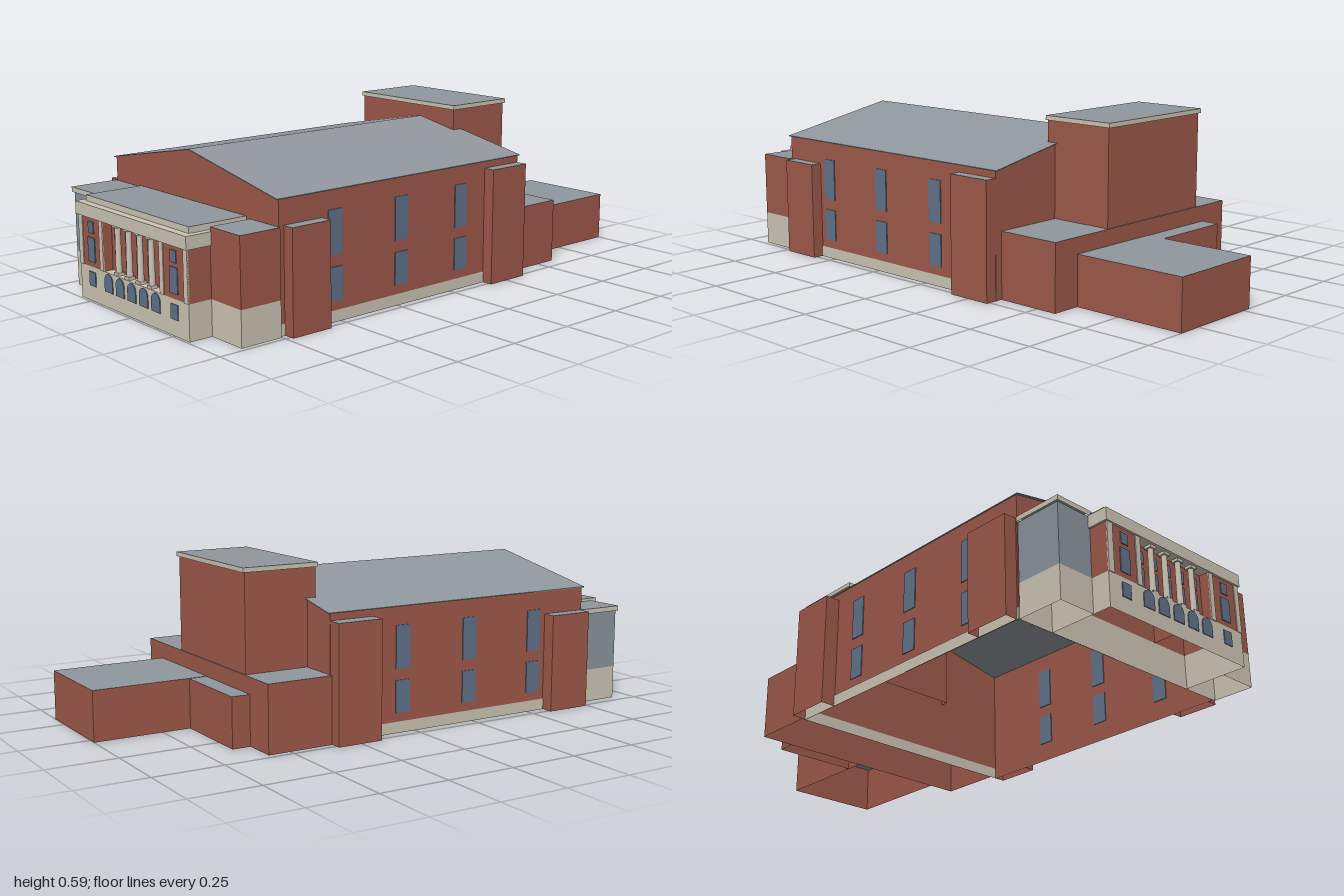
import * as THREE from 'three';

const mat = (name, color) => {
  const m = new THREE.MeshStandardMaterial({ color, side: THREE.DoubleSide });
  m.name = name;
  return m;
};

export function createModel() {
  const brick = mat('brick', 0x9e594a);
  const stone = mat('stone', 0xcdc5b5);
  const slate = mat('roof grey', 0x90979d);
  const panel = mat('wing panel grey', 0x8a939b);
  const glass = mat('window blue', 0x60728a);
  const model = new THREE.Group();
  model.name = 'hall';

  const add = (name, geometry, material, parent = model) => {
    const mesh = new THREE.Mesh(geometry, material);
    mesh.name = name;
    parent.add(mesh);
    return mesh;
  };

  const boxGeometry = (x0, x1, y0, y1, z0, z1) =>
    new THREE.BoxGeometry(x1 - x0, y1 - y0, z1 - z0)
      .translate((x0 + x1) / 2, (y0 + y1) / 2, (z0 + z1) / 2);

  // Solid box between two corners
  const solid = (name, material, ...b) => add(name, boxGeometry(...b), material);

  // Four walls without a floor, with an optional flat roof
  const block = (name, wall, roof, ...b) => {
    const g = boxGeometry(...b);
    const i = Array.from(g.index.array);
    const walls = [...i.slice(0, 12), ...i.slice(24, 36)];
    g.clearGroups();
    g.addGroup(0, 24, 0);
    if (roof) g.addGroup(24, 6, 1);
    g.setIndex(roof ? [...walls, ...i.slice(12, 18)] : walls);
    return add(name, g, roof ? [wall, roof] : wall);
  };

  // Main hall: walls, gables, stone plinth and pitched roof
  const L = -0.462, R = 0.472, MID = 0.005, EAVE = 0.44, PEAK = 0.53;
  const BACK = -0.34, FRONT = 0.75;
  block('hallWalls', brick, null, L, R, 0, EAVE, BACK, FRONT);
  block('hallPlinth', stone, null, L - 0.003, R + 0.003, 0, 0.04, BACK + 0.001, FRONT + 0.002);
  const gable = new THREE.Shape([
    new THREE.Vector2(L, EAVE), new THREE.Vector2(R, EAVE), new THREE.Vector2(MID, PEAK)]);
  for (const [name, z] of [['frontGable', FRONT], ['backGable', BACK]])
    add(name, new THREE.ShapeGeometry(gable).translate(0, 0, z), brick);
  const roofShape = new THREE.Shape([
    [L - 0.004, EAVE - 0.001], [MID, PEAK], [R + 0.004, EAVE - 0.001],
    [R + 0.004, EAVE + 0.002], [MID, PEAK + 0.003], [L - 0.004, EAVE + 0.002],
  ].map(([x, y]) => new THREE.Vector2(x, y)));
  add('hallRoof', new THREE.ExtrudeGeometry(roofShape, { depth: 1.106, bevelEnabled: false })
    .translate(0, 0, -0.348), slate);

  // Side windows, mirrored on both long walls
  for (const z of [0.522, 0.232, -0.05])
    for (const [y0, y1] of [[0.07, 0.185], [0.225, 0.375]])
      for (const x of [L, R])
        solid('sideWindow', glass, x - 0.003, x + 0.003, y0, y1, z - 0.029, z + 0.029);

  // Corner towers along the long walls
  block('frontLeftButtress', brick, slate, R, 0.514, 0, 0.355, 0.575, 0.73);
  block('frontRightButtress', brick, slate, -0.51, L, 0, 0.355, 0.575, 0.745);
  block('rearLeftButtress', brick, slate, R, 0.514, 0, 0.415, -0.339, -0.17);
  block('rearRightButtress', brick, slate, -0.517, L, 0, 0.415, -0.339, -0.17);

  // Rear block, stage tower and low annexes
  block('rearBlock', brick, slate, -0.476, 0.446, 0, 0.235, -0.58, -0.342);
  block('stageTower', brick, null, -0.316, 0.181, 0.235, 0.575, -0.576, -0.307);
  solid('towerCornice', stone, -0.322, 0.187, 0.575, 0.589, -0.584, -0.302);
  block('towerRoof', stone, slate, -0.322, 0.187, 0.588, 0.591, -0.584, -0.302);
  block('rearAnnex', brick, slate, -0.032, 0.338, 0, 0.178, -1, -0.581);
  block('rearLowRoom', brick, slate, -0.352, -0.033, 0, 0.177, -0.647, -0.581);

  // Front wings beside the portico
  const Z = FRONT + 0.003;
  block('leftWingBase', stone, null, 0.331, 0.484, 0, 0.122, Z, 0.907);
  block('leftWing', brick, slate, 0.331, 0.484, 0.122, 0.354, Z, 0.907);
  block('rightWingBase', stone, null, -0.46, -0.319, 0, 0.122, Z, 0.925);
  block('rightWing', panel, null, -0.46, -0.319, 0.122, 0.337, Z, 0.925);
  block('rightWingCornice', stone, slate, -0.467, -0.319, 0.337, 0.355, Z, 0.932);

  // Portico: stone base, brick bays and a recess behind the columns
  const F = 0.992, RECESS = 0.958, BAY0 = -0.165, BAY1 = 0.175;
  block('porticoBase', stone, null, -0.318, 0.331, 0, 0.122, Z, F);
  solid('porticoLedge', stone, BAY0, BAY1, 0.116, 0.122, RECESS, F);
  block('porticoRightBay', brick, null, -0.318, BAY0, 0.122, 0.297, Z, F);
  block('porticoLeftBay', brick, null, BAY1, 0.331, 0.122, 0.297, Z, F);
  block('recessWall', brick, null, BAY0, BAY1, 0.122, 0.297, Z, RECESS);
  for (const [a, b] of [[-0.318, -0.293], [-0.187, BAY0], [BAY1, 0.197], [0.309, 0.331]])
    solid('pilaster', stone, a, b, 0.122, 0.297, F - 0.003, F + 0.003);

  // Entablature beams and low attic
  solid('entablatureFront', stone, -0.325, 0.336, 0.295, 0.339, 0.95, 1);
  solid('entablatureRight', stone, -0.325, -0.301, 0.295, 0.339, Z, 0.95);
  solid('entablatureLeft', stone, 0.312, 0.336, 0.295, 0.339, Z, 0.95);
  block('attic', stone, slate, -0.301, 0.312, 0.338, 0.36, Z, 0.972);

  // Columns with square base and capital
  for (let i = 0; i < 4; i++) {
    const x = -0.095 + i * 0.0667, z = 0.977;
    const column = new THREE.Group();
    column.name = 'column';
    model.add(column);
    add('shaft', new THREE.CylinderGeometry(0.0095, 0.011, 0.157, 16)
      .translate(x, 0.209, z), stone, column);
    add('columnBase', boxGeometry(x - 0.013, x + 0.013, 0.122, 0.132, z - 0.013, z + 0.013), stone, column);
    add('capital', boxGeometry(x - 0.014, x + 0.014, 0.285, 0.296, z - 0.013, z + 0.013), stone, column);
  }

  // Front windows
  const pane = (name, x, w, y0, y1, z) =>
    solid(name, glass, x - w / 2, x + w / 2, y0, y1, z - 0.003, z + 0.003);
  for (const x of [-0.24, 0.253]) {
    pane('baseWindow', x, 0.04, 0.055, 0.105, F);
    pane('bayWindow', x, 0.044, 0.14, 0.225, F);
    pane('bayUpperWindow', x, 0.033, 0.24, 0.28, F);
  }
  const arch = new THREE.Shape();
  arch.moveTo(-0.025, 0.055);
  arch.lineTo(0.025, 0.055);
  arch.lineTo(0.025, 0.093);
  arch.absarc(0, 0.093, 0.025, 0, Math.PI, false);
  arch.closePath();
  for (let i = -2; i <= 2; i++) {
    add('archedDoor', new THREE.ExtrudeGeometry(arch, { depth: 0.005, bevelEnabled: false, curveSegments: 10 })
      .translate(MID + i * 0.071, 0, F - 0.002), glass);
    const x = MID + i * 0.0662;
    pane('recessWindow', x, 0.031, 0.134, 0.216, RECESS);
    pane('recessUpperWindow', x, 0.031, 0.231, 0.274, RECESS);
  }
  return model;
}
